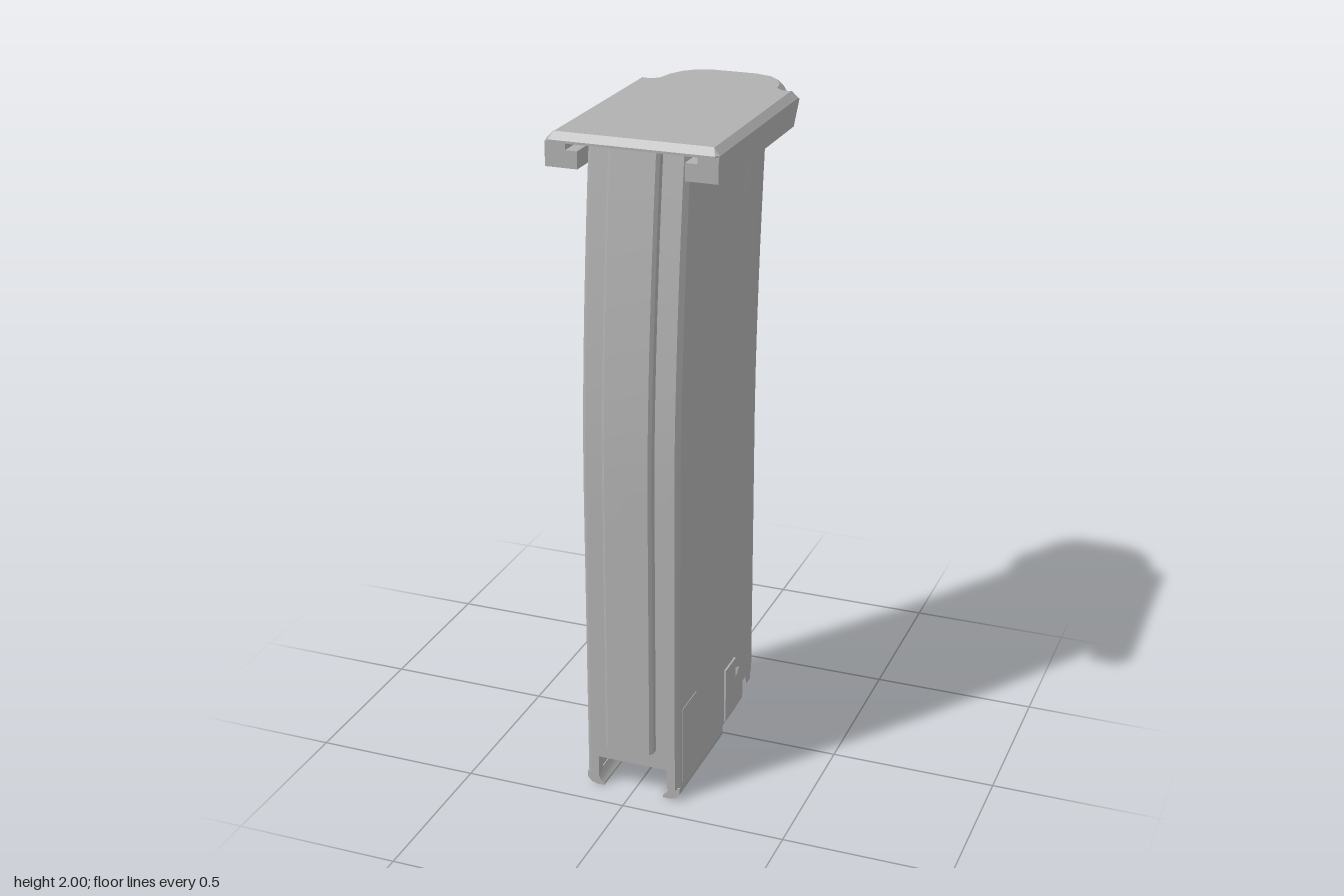
import * as THREE from 'three';
import { toCreasedNormals } from 'three/addons/utils/BufferGeometryUtils.js';

const grey = new THREE.MeshStandardMaterial({ color: 0xb0b0b0, side: THREE.DoubleSide });
grey.name = 'grey';

// The casing is straight below y = 1 and sweeps backwards above it
const sweep = (y) => (y > 1 ? -0.07 * Math.pow((y - 1) / 0.9, 1.6) : 0);

// Completes a half outline (front to rear, +x side) into a closed loop
const mirrorLoop = (half) => [...half, ...half.map(([x, ...rest]) => [-x, ...rest]).reverse()];

// Moves an x,z loop inwards by d with mitred corners
function inset(loop, d) {
  const n = loop.length;
  const normal = (a, b) => new THREE.Vector2(a[1] - b[1], b[0] - a[0]).normalize();
  return loop.map((p, i) => {
    const n1 = normal(loop[(i + n - 1) % n], p);
    const n2 = normal(p, loop[(i + 1) % n]);
    const k = d / (1 + n1.dot(n2));
    return [p[0] - k * (n1.x + n2.x), p[1] - k * (n1.y + n2.y), ...p.slice(2)];
  });
}

// Skins a stack of rings of [x, y, z] points
function loft(rings, capped) {
  const n = rings[0].length;
  const index = [];
  for (let i = 0; i < rings.length - 1; i++) {
    for (let j = 0; j < n; j++) {
      const a = i * n + j, b = i * n + ((j + 1) % n);
      index.push(a, b, b + n, a, b + n, a + n);
    }
  }
  if (capped) {
    const flat = (ring) => ring.map((p) => new THREE.Vector2(p[0], -p[2]));
    const top = (rings.length - 1) * n;
    THREE.ShapeUtils.triangulateShape(flat(rings[0]), []).forEach(([a, b, c]) => index.push(a, c, b));
    THREE.ShapeUtils.triangulateShape(flat(rings[rings.length - 1]), [])
      .forEach(([a, b, c]) => index.push(top + a, top + b, top + c));
  }
  const geo = new THREE.BufferGeometry();
  geo.setAttribute('position', new THREE.Float32BufferAttribute(rings.flat(2), 3));
  geo.setIndex(index);
  return toCreasedNormals(geo, 0.45);
}

const ringAt = (loop, y) => loop.map(([x, z]) => [x, y, z + sweep(y)]);
const levelRing = (loop, y) => loop.map(([x, z]) => [x, y, z]);

function polygon(points) {
  return new THREE.Shape(points.map(([x, y]) => new THREE.Vector2(x, y)));
}

export function createModel() {
  const model = new THREE.Group();
  model.name = 'curvedCasing';
  const add = (name, geo, x = 0, y = 0, z = 0) => {
    const mesh = new THREE.Mesh(geo, grey);
    mesh.name = name;
    mesh.position.set(x, y, z);
    model.add(mesh);
    return mesh;
  };
  const box = (name, w, h, d, x, y, z) => add(name, new THREE.BoxGeometry(w, h, d), x, y, z);

  // Hollow shell: x, z, height of the stepped lower edge, side groove depth
  const section = mirrorLoop([
    [0.108, 0.42, 0.1, 0], [0.11, 0.42, 0.035, 0], [0.135, 0.42, 0.035, 0],
    [0.148, 0.405, 0.035, 0], [0.148, 0.042, 0.035, 0], [0.148, 0.04, 0.05, 0],
    [0.148, -0.05, 0.05, 0], [0.148, -0.058, 0.05, 0.02], [0.147, -0.085, 0.05, 0.02],
    [0.146, -0.115, 0.05, 0], [0.146, -0.148, 0.05, 0], [0.146, -0.15, 0.11, 0],
    [0.146, -0.18, 0.11, 0], [0.146, -0.182, 0.08, 0], [0.146, -0.222, 0.08, 0],
    [0.146, -0.224, 0.1, 0], [0.135, -0.265, 0.1, 0], [0.11, -0.3, 0.1, 0], [0.07, -0.32, 0.09, 0],
  ]);
  const levels = [0.16, 0.18, 0.6, 1, 1.13, 1.26, 1.39, 1.52, 1.65, 1.76, 1.86, 1.885, 1.975];
  const inner = inset(section, 0.03);
  const lowerEdge = (loop) => loop.map(([x, z, low]) => [x, low, z]);
  const grooved = (y) => section.map(([x, z, low, depth]) => {
    const cut = y > 0.17 && y < 1.87 ? depth : 0;
    return [x - Math.sign(x) * cut, y, z + sweep(y)];
  });
  add('shell', loft([
    ...levels.slice().reverse().map((y) => ringAt(inner, y)),
    lowerEdge(inner), lowerEdge(section),
    ...levels.map(grooved),
  ], false));

  // Raised spine along the front
  const spine = mirrorLoop([[0.066, 0.45], [0.075, 0.441], [0.075, 0.41]]);
  add('frontSpine', loft(levels.map((y) => ringAt(spine, y)), true));

  for (const s of [1, -1]) {
    // Lips curling inwards at the open end
    const lip = polygon([[0.148, 0.04], [0.148, 0.02], [0.135, 0.005], [0.115, 0], [0.095, 0],
      [0.095, 0.008], [0.108, 0.02], [0.115, 0.04]].map(([x, y]) => [s * x, y]));
    const lipGeo = new THREE.ExtrudeGeometry(lip, { depth: 0.375, bevelEnabled: false });
    add('lip', toCreasedNormals(lipGeo, 0.8), 0, 0, 0.04);

    // Low side details near the open end
    box('sideStop', 0.012, 0.18, 0.09, s * 0.148, 0.15, -0.015);
    box('sidePanel', 0.006, 0.25, 0.11, s * 0.147, 0.175, 0.335);

    // Stepped flanges of the end cap, cut at a slant towards the rear
    const flange = (name, y0, y1, z0, z1, width) => {
      const geo = new THREE.ExtrudeGeometry(
        polygon([[0.39, y0], [0.39, y1], [z1, y1], [z0, y0]]), { depth: width, bevelEnabled: false });
      geo.rotateY(-Math.PI / 2);
      add(name, geo, s > 0 ? 0.25 : -0.25 + width);
    };
    flange('lowerFlange', 1.905, 1.955, -0.24, -0.275, 0.095);
    flange('upperFlange', 1.955, 1.976, -0.275, -0.29, 0.06);
  }

  // Rim held in the slot of the end cap
  box('slotRim', 0.37, 0.012, 0.57, 0, 1.965, 0.045);

  // End cap with bevelled top and rounded tongue
  const tongueCurve = [[0.2, -0.3], [0.19, -0.35], [0.165, -0.4], [0.13, -0.435], [0.07, -0.455]];
  const plate = mirrorLoop([[0.24, 0.39], [0.25, 0.38], [0.25, -0.28], [0.24, -0.29], [0.21, -0.29],
    ...tongueCurve]);
  add('endPlate', loft([levelRing(plate, 1.973), levelRing(plate, 1.98),
    levelRing(inset(plate, 0.02), 2)], true));
  const tongue = mirrorLoop([[0.2, -0.24], ...tongueCurve]);
  add('tongue', loft([levelRing(tongue, 1.905), levelRing(tongue, 1.975)], true));
  box('tongueTab', 0.06, 0.045, 0.006, 0, 1.93, -0.455);

  // Small catch on the back
  const catchGeo = new THREE.ExtrudeGeometry(
    polygon([[-0.31, 0.44], [-0.31, 0.49], [-0.332, 0.482], [-0.328, 0.462]]),
    { depth: 0.06, bevelEnabled: false });
  catchGeo.rotateY(-Math.PI / 2);
  add('rearCatch', catchGeo, 0.03);

  return model;
}
